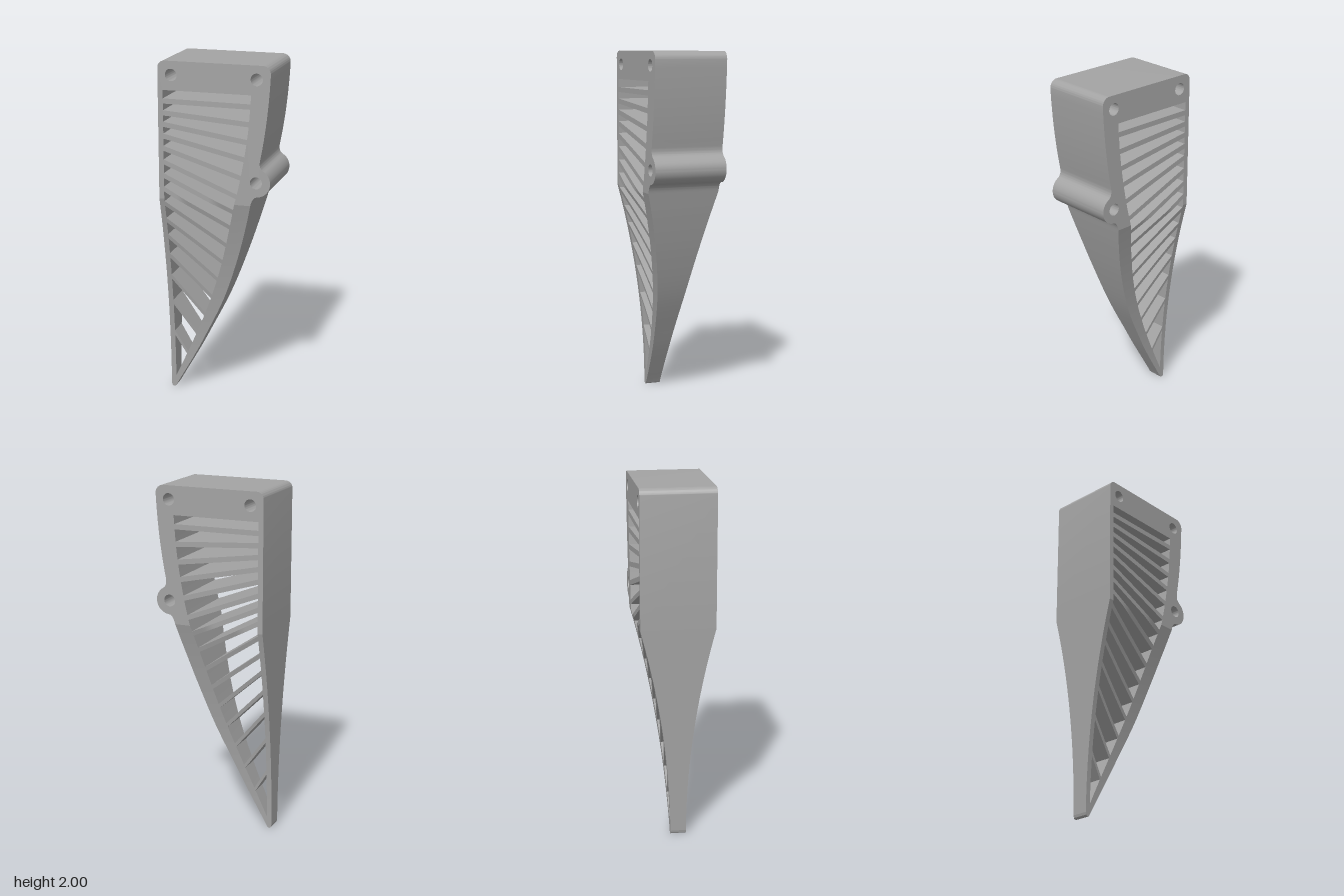
import * as THREE from 'three';
import { toCreasedNormals } from 'three/addons/utils/BufferGeometryUtils.js';

const BEND = 1.22;           // height where the body starts to taper
const LEFT = -0.322, LEFT_IN = -0.293, SLOT_TOP = 1.838, SLOT_END = 0.07;

// half depth at a given height
const half = y => 0.045 + 0.165 * Math.min(1, Math.max(0, y) / BEND) ** 2;

// a spline through points, looked up as x for a given y
function edge(points) {
  const p = new THREE.SplineCurve(points.map(q => new THREE.Vector2(...q))).getPoints(120);
  return y => {
    let i = 1;
    while (i < p.length - 1 && p[i].y < y) i++;
    const t = (y - p[i - 1].y) / (p[i].y - p[i - 1].y);
    return p[i - 1].x + t * (p[i].x - p[i - 1].x);
  };
}
const innerX = edge([[-0.293, 0.07], [-0.161, 0.36], [-0.06, 0.607], [0.018, 0.845],
  [0.103, 1.17], [0.153, 1.38], [0.192, 1.62], [0.21, 1.84]]);
const outerX = edge([[-0.288, 0.02], [-0.171, 0.228], [-0.103, 0.36], [0.013, 0.6],
  [0.103, 0.847], [0.171, 1.075], [0.208, 1.22]]);

const range = (a, b, n) => Array.from({ length: n + 1 }, (_, i) => a + (b - a) * i / n);

// bar lofted through stations [ax, ay, bx, by], as deep as the body at each point
function loft(stations) {
  const pos = [], idx = [];
  const quad = (a, b, c, d) => idx.push(a, b, c, a, c, d);
  for (const [ax, ay, bx, by] of stations) {
    const ha = half(ay), hb = half(by);
    pos.push(ax, ay, ha, bx, by, hb, bx, by, -hb, ax, ay, -ha);
  }
  const last = (stations.length - 1) * 4;
  for (let i = 0; i < last; i += 4)
    for (let j = 0; j < 4; j++) {
      const k = (j + 1) % 4;
      quad(i + j, i + k, i + 4 + k, i + 4 + j);
    }
  quad(3, 2, 1, 0);
  quad(last, last + 1, last + 2, last + 3);
  const g = new THREE.BufferGeometry();
  g.setAttribute('position', new THREE.Float32BufferAttribute(pos, 3));
  g.setIndex(idx);
  return toCreasedNormals(g, 0.2);
}

// upper frame: top block, straight side walls and the lug, with three bolt holes
function upperFrame() {
  const path = new THREE.Path();
  path.moveTo(LEFT, BEND);
  path.lineTo(LEFT, 1.96);
  path.absarc(LEFT + 0.04, 1.96, 0.04, Math.PI, Math.PI / 2, true);
  path.lineTo(0.273, 2);
  path.absarc(0.273, 1.955, 0.045, Math.PI / 2, 0, true);
  path.quadraticCurveTo(0.306, 1.7, 0.262, 1.48);
  path.quadraticCurveTo(0.254, 1.438, 0.282, 1.421);
  path.absarc(0.24, 1.353, 0.08, 1.017, -1.484, true);
  path.quadraticCurveTo(0.22, 1.271, 0.208, BEND);
  const pts = path.getPoints(12);
  for (const y of range(BEND, SLOT_TOP, 16)) pts.push(new THREE.Vector2(innerX(y), y));
  pts.push(new THREE.Vector2(LEFT_IN, SLOT_TOP), new THREE.Vector2(LEFT_IN, BEND));
  const clean = pts.filter((p, i) => i === 0 || p.distanceTo(pts[i - 1]) > 1e-4);
  const shape = new THREE.Shape(clean.reverse());
  for (const [x, y] of [[-0.245, 1.923], [0.24, 1.923], [0.24, 1.353]])
    shape.holes.push(new THREE.Path().absarc(x, y, 0.034, 0, Math.PI * 2, true));
  const depth = 2 * half(BEND);
  const g = new THREE.ExtrudeGeometry(shape, { depth, bevelEnabled: false, curveSegments: 20 });
  g.translate(0, 0, -depth / 2);
  return toCreasedNormals(g, 0.35);
}

export function createModel() {
  const group = new THREE.Group();
  const grey = new THREE.MeshStandardMaterial({ color: 0xa3a3a3 });
  grey.name = 'grey';
  const add = (name, geometry) => {
    const mesh = new THREE.Mesh(geometry, grey);
    mesh.name = name;
    group.add(mesh);
  };

  add('upperFrame', upperFrame());

  // tapering lower walls
  const heights = range(SLOT_END, BEND, 28);
  add('straightWall', loft(heights.map(y => [LEFT, y, LEFT_IN, y])));
  add('curvedWall', loft(heights.map(y => [innerX(y), y, outerX(y), y])));

  // rounded tip
  add('tip', loft([
    [-0.313, 0, -0.301, 0], [-0.319, 0.006, -0.295, 0.006], [LEFT, 0.02, outerX(0.02), 0.02],
    [LEFT, 0.045, outerX(0.045), 0.045], [LEFT, SLOT_END, outerX(SLOT_END), SLOT_END]]));

  // fanned ribs: height at the straight wall, height at the curved wall
  const ribs = [[1.777, 1.774], [1.711, 1.676], [1.647, 1.576], [1.581, 1.478], [1.512, 1.372],
    [1.435, 1.263], [1.356, 1.17], [1.279, 1.07], [1.194, 0.953], [1.088, 0.842],
    [0.985, 0.726], [0.863, 0.609], [0.726, 0.487], [0.561, 0.36], [0.36, 0.222]];
  ribs.forEach(([yl, yr], i) => {
    const t = 0.0145, xl = LEFT_IN - 0.005, xr = innerX(yr) + 0.01;
    add('rib' + (i + 1), loft(range(0, 1, 24).map(s => {
      const x = xl + (xr - xl) * s, y = yl + (yr - yl) * s;
      return [x, y + t, x, y - t];
    })));
  });
  return group;
}
